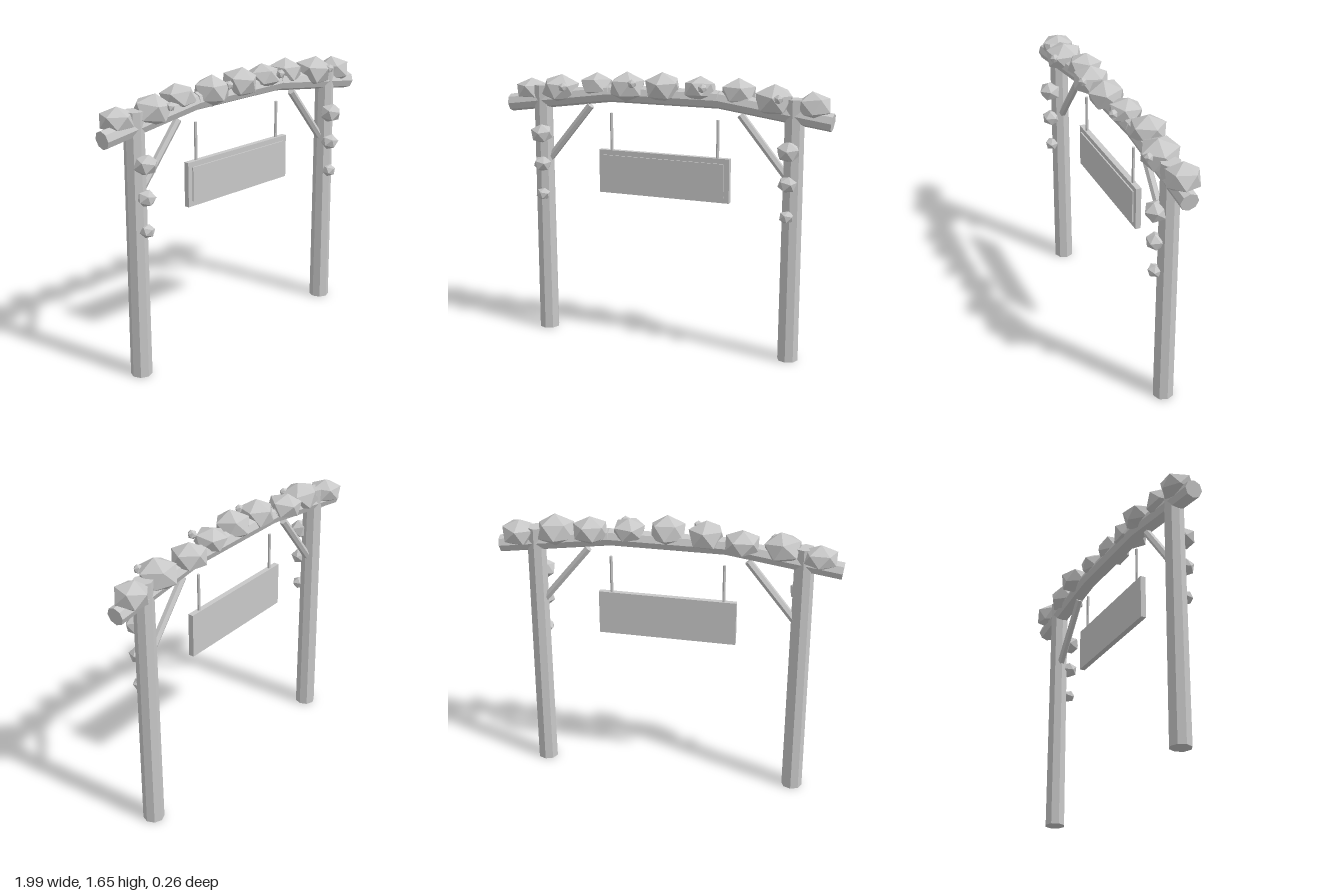
import * as THREE from 'three';

const grey = new THREE.MeshStandardMaterial({ color: 0xc8c8c8, flatShading: true });
grey.name = 'plain grey';

function add(parent, geometry, name) {
  const mesh = new THREE.Mesh(geometry, grey);
  mesh.name = name;
  parent.add(mesh);
  return mesh;
}

// Straight pole between two points in the xy plane
function pole(parent, name, [x0, y0], [x1, y1], r0, r1, sides) {
  const a = new THREE.Vector3(x0, y0, 0), b = new THREE.Vector3(x1, y1, 0);
  const dir = b.clone().sub(a);
  const mesh = add(parent, new THREE.CylinderGeometry(r1, r0, dir.length(), sides), name);
  mesh.position.copy(a).add(b).multiplyScalar(0.5);
  mesh.quaternion.setFromUnitVectors(new THREE.Vector3(0, 1, 0), dir.normalize());
  return mesh;
}

// Faceted leaf clump: an icosahedron standing on a point, squashed and turned
function clump(parent, name, x, y, z, r, squash, yaw, tilt = 0) {
  const geometry = new THREE.IcosahedronGeometry(r, 0);
  geometry.rotateZ(Math.atan2(1, (1 + Math.sqrt(5)) / 2));
  geometry.rotateX(tilt);
  geometry.rotateY(yaw);
  geometry.scale(1, squash, 1);
  add(parent, geometry, name).position.set(x, y, z);
}

export function createModel() {
  const model = new THREE.Group();
  model.name = 'gardenGate';

  // Posts and diagonal braces
  for (const s of [-1, 1]) {
    const side = s > 0 ? 'left' : 'right';
    pole(model, side + 'Post', [s * 0.775, 0], [s * 0.775, 1.53], 0.061, 0.056, 8);
    pole(model, side + 'Brace', [s * 0.75, 1.073], [s * 0.463, 1.423], 0.023, 0.023, 6);
  }

  // Arched beam in three straight lengths
  const beam = new THREE.Group();
  beam.name = 'beam';
  model.add(beam);
  const path = [[-0.99, 1.411], [-0.335, 1.502], [0.335, 1.502], [0.99, 1.411]];
  for (let i = 0; i < 3; i++) pole(beam, 'beamLength', path[i], path[i + 1], 0.052, 0.052, 8);

  // Hanging board with a raised front panel and two hangers
  const sign = new THREE.Group();
  sign.name = 'hangingBoard';
  model.add(sign);
  add(sign, new THREE.BoxGeometry(0.81, 0.26, 0.032), 'board').position.y = 1.035;
  add(sign, new THREE.BoxGeometry(0.75, 0.2, 0.009), 'frontPanel').position.set(0, 1.035, 0.0195);
  for (const s of [-1, 1]) pole(sign, 'hanger', [s * 0.33, 1.16], [s * 0.33, 1.385], 0.009, 0.009, 6);

  // Leaf clumps along the beam: x, y, z, radius, squash, yaw
  const foliage = new THREE.Group();
  foliage.name = 'foliage';
  model.add(foliage);
  [
    [-0.865, 1.49, -0.03, 0.104, 0.7, 0.3],
    [-0.655, 1.513, 0.01, 0.118, 0.76, 1.1],
    [-0.43, 1.537, -0.03, 0.108, 0.72, 0.5],
    [-0.22, 1.545, 0.018, 0.112, 0.82, 0.9],
    [0, 1.555, 0.018, 0.112, 0.82, 0.31],
    [0.22, 1.553, 0, 0.102, 0.74, 0.1],
    [0.44, 1.543, -0.03, 0.11, 0.76, 0.7],
    [0.655, 1.515, 0.002, 0.12, 0.8, 0.45],
    [0.88, 1.49, -0.015, 0.104, 0.82, 1.0],
  ].forEach((c, i) => clump(foliage, 'beamClump', ...c, 0.2 * Math.sin(i * 2.1)));

  // Small buds on the front of the clumps
  for (const [x, y] of [[-0.6, 1.535], [-0.16, 1.577], [0.265, 1.573], [0.705, 1.537]]) {
    clump(foliage, 'bud', x, y, 0.092, 0.028, 1, 0.4, 0.3);
  }

  // Climbing clumps on the front of each post
  for (const s of [-1, 1]) {
    [[1.245, 0.07], [1.06, 0.056], [0.873, 0.044]].forEach(([y, r], i) =>
      clump(foliage, 'postClump', s * 0.76, y, 0.067, r, 0.88, 0.4 + i * 0.5, 0.3));
  }

  return model;
}
